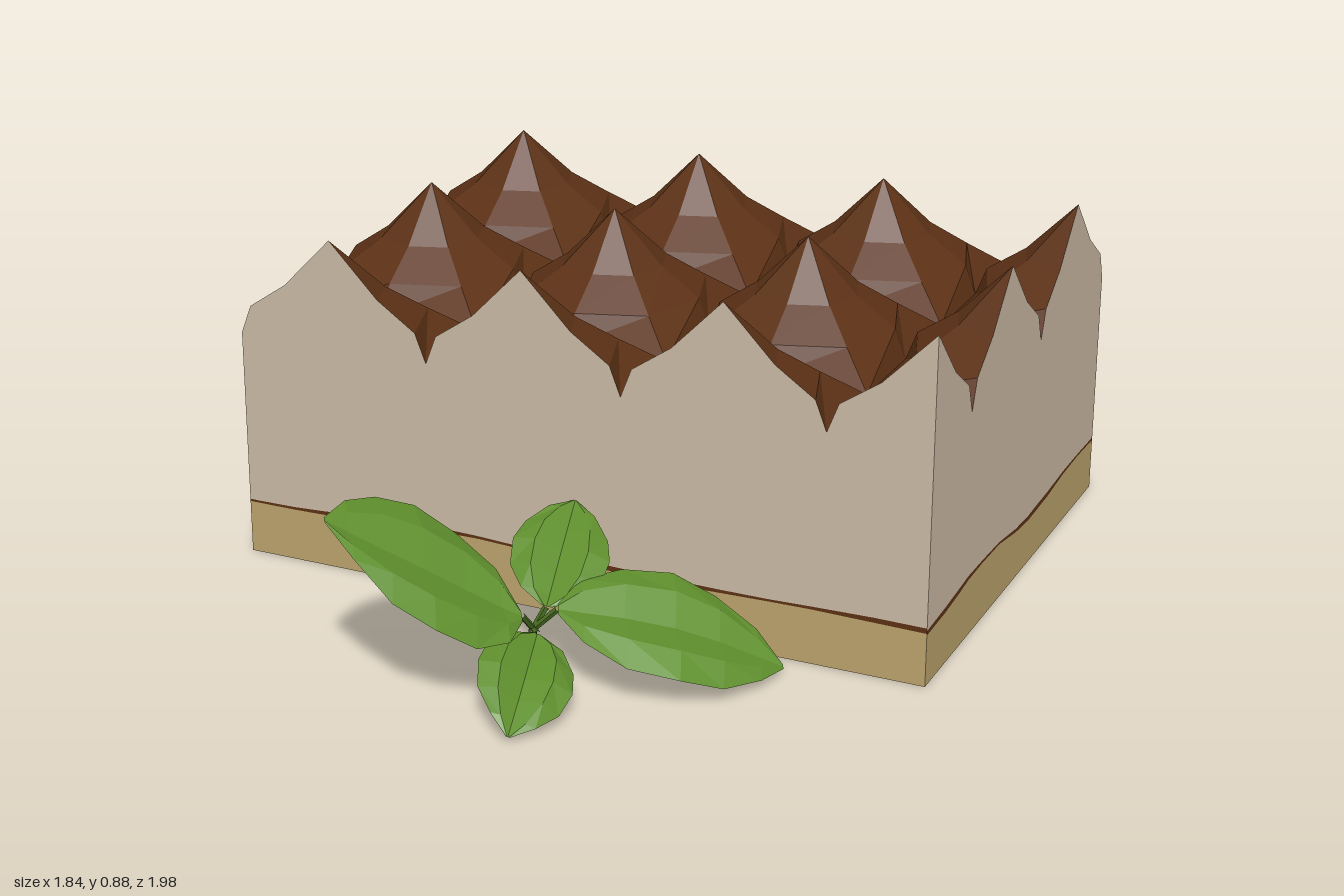
import * as THREE from 'three';

const X = 0.92, ZB = -1, ZF = 0.32;          // cake footprint
const HX = 0.2629, HZ = 0.264;               // half size of one cream peak
// peak cross-section: distance from centre (fraction of half size) and height
const PROFILE = [[0, 0.88], [0.5, 0.745], [0.89, 0.675], [1, 0.6]];
const PEAKS_X = [0, 1, 2, 3].map(i => X - i * 2 * HX);
const PEAKS_Z = [0, 1, 2].map(i => ZF - i * 2 * HZ);

// linear interpolation through [position, value] pairs
function lerpTable(table, u) {
  for (let i = 1; i < table.length; i++) {
    const [u0, v0] = table[i - 1], [u1, v1] = table[i];
    if (u <= u1) return v0 + (v1 - v0) * Math.max(0, (u - u0) / (u1 - u0));
  }
  return table[table.length - 1][1];
}

// flat shaded mesh from a list of quads / triangles
function facets(name, color, polys, side = THREE.FrontSide) {
  const pos = [];
  for (const p of polys) {
    for (let i = 1; i < p.length - 1; i++) pos.push(...p[0], ...p[i], ...p[i + 1]);
  }
  const geo = new THREE.BufferGeometry();
  geo.setAttribute('position', new THREE.Float32BufferAttribute(pos, 3));
  geo.computeVertexNormals();
  const mesh = new THREE.Mesh(geo, new THREE.MeshStandardMaterial({ color, flatShading: true, side }));
  mesh.name = name;
  return mesh;
}

// cocoa surface: rows of faceted peaks, halved along the cut sides
function cocoaTopping() {
  const polys = [];
  const ring = (cx, cz, [r, y], k) => {
    const a = k * Math.PI / 4;
    let c = Math.cos(a), s = Math.sin(a);
    if (r === 1) {
      const m = Math.max(Math.abs(c), Math.abs(s));
      c /= m; s /= m;
    } else if (k % 2) { c *= 1.06; s *= 1.06; }
    return [cx + c * r * HX, y, cz + s * r * HZ];
  };
  for (const cx of PEAKS_X) for (const cz of PEAKS_Z) for (let k = 0; k < 8; k++) {
    const mid = (k + 0.5) * Math.PI / 4;
    if (cx + Math.cos(mid) * 0.1 > X || cz + Math.sin(mid) * 0.1 > ZF) continue;
    for (let j = 1; j < PROFILE.length; j++) {
      const a = PROFILE[j - 1], b = PROFILE[j];
      const outer = [ring(cx, cz, b, k + 1), ring(cx, cz, b, k)];
      polys.push(j === 1 ? [[cx, a[1], cz], ...outer]
        : [ring(cx, cz, a, k), ring(cx, cz, a, k + 1), ...outer]);
    }
  }
  return facets('cocoaTopping', 0x5c3115, polys, THREE.DoubleSide);
}

// wavy line between sponge and cream, along x and along z
const WAVE_X = [[-0.92, 0.138], [-0.7, 0.138], [-0.4, 0.155], [-0.25, 0.157], [0, 0.145], [0.2, 0.135], [0.6, 0.143], [0.92, 0.138]];
const WAVE_BACK = [[-0.92, 0.138], [-0.55, 0.14], [-0.2, 0.125], [0.1, 0.118], [0.35, 0.142], [0.6, 0.15], [0.92, 0.138]];
const WAVE_Z = [[-1, 0.136], [-0.8, 0.142], [-0.6, 0.125], [-0.4, 0.12], [-0.2, 0.152], [0, 0.155], [0.15, 0.138], [0.32, 0.134]];

// stations along a side, at every break of the peak profile
function stations(peaks, half, lo, hi) {
  const list = [];
  for (const p of peaks) for (const [r] of PROFILE) list.push(p - r * half, p + r * half);
  const inside = list.filter(u => u > lo + 0.005 && u < hi - 0.005);
  return [lo, ...inside.sort((a, b) => a - b), hi];
}

function peakHeight(u, peaks, half) {
  const d = Math.min(...peaks.map(p => Math.abs(u - p)));
  return lerpTable(PROFILE, Math.min(1, d / half));
}

function cakeLayers() {
  const ux = stations(PEAKS_X, HX, -X, X), uz = stations(PEAKS_Z, HZ, ZB, ZF);
  const flat = () => 0.6;
  // each side runs anticlockwise seen from above so its faces point outward
  const sides = [
    { us: ux, at: (u, y) => [u, y, ZF], wave: WAVE_X, top: u => peakHeight(u, PEAKS_X, HX) },
    { us: [...uz].reverse(), at: (u, y) => [X, y, u], wave: WAVE_Z, top: u => peakHeight(u, PEAKS_Z, HZ) },
    { us: [...ux].reverse(), at: (u, y) => [u, y, ZB], wave: WAVE_BACK, top: flat },
    { us: uz, at: (u, y) => [-X, y, u], wave: WAVE_Z, top: flat },
  ];
  const wall = (low, high) => sides.flatMap(s => s.us.slice(1).map((b, i) => {
    const a = s.us[i];
    return [s.at(a, low(s, a)), s.at(b, low(s, b)), s.at(b, high(s, b)), s.at(a, high(s, a))];
  }));
  const zero = () => 0;
  const wave = (s, u) => lerpTable(s.wave, u);
  const syrup = (s, u) => wave(s, u) + 0.01 + 0.004 * Math.sin(u * 9);
  const top = (s, u) => s.top(u);
  const bottom = [[-X, 0, ZB], [X, 0, ZB], [X, 0, ZF], [-X, 0, ZF]];
  return [
    facets('spongeBase', 0xbca46c, [...wall(zero, wave), bottom]),
    facets('coffeeLine', 0x5c3115, wall(wave, syrup)),
    facets('creamLayer', 0xccbba5, wall(syrup, top)),
  ];
}

// leaf: outline swept from base to tip, folded along its midrib
const LEAF_WIDTH = [[0, 0.1], [0.1, 0.62], [0.28, 0.97], [0.5, 1.05], [0.7, 0.9], [0.88, 0.5], [1, 0.04]];
function leaf(name, base, tip, side, bulge) {
  const b = new THREE.Vector3(...base), t = new THREE.Vector3(...tip), s = new THREE.Vector3(...side);
  const axis = t.clone().sub(b);
  const normal = axis.clone().cross(s).normalize();
  if (normal.y < 0) normal.negate();
  const across = [-1, -0.55, 0, 0.55, 1];
  const rows = LEAF_WIDTH.map(([u, w], i) => across.map(v => {
    const lift = bulge * Math.sin(u * Math.PI) + w * (0.025 * (1 - (2 * Math.abs(v) - 1) ** 2) - 0.012)
      + (Math.abs(v) === 1 ? 0.008 * (i % 2) : 0);
    return b.clone().addScaledVector(axis, u).addScaledVector(s, v * w).addScaledVector(normal, lift).toArray();
  }));
  const polys = [];
  for (let i = 1; i < rows.length; i++) for (let j = 1; j < across.length; j++) {
    polys.push([rows[i - 1][j - 1], rows[i - 1][j], rows[i][j], rows[i][j - 1]]);
  }
  return facets(name, 0x5f8f2d, polys, THREE.DoubleSide);
}

function stalk(name, points, radius) {
  const curve = new THREE.CatmullRomCurve3(points.map(p => new THREE.Vector3(...p)));
  const mesh = new THREE.Mesh(new THREE.TubeGeometry(curve, 4, radius, 5),
    new THREE.MeshStandardMaterial({ color: 0x4c7424, flatShading: true }));
  mesh.name = name;
  return mesh;
}

function sprig() {
  const group = new THREE.Group();
  group.name = 'sprig';
  const hub = [0.05, 0.11, 0.63];
  const leaves = [
    ['raisedLeaf', [0.05, 0.17, 0.69], [-0.33, 0.44, 0.93], [0.1, -0.075, 0.137], 0.01],
    ['broadLeaf', [0.12, 0.18, 0.64], [0.59, 0.015, 0.39], [0.075, -0.055, 0.145], 0.045],
    ['backLeaf', [0.08, 0.17, 0.62], [0.01, 0.31, 0.32], [0.11, -0.02, -0.025], 0.015],
    ['frontLeaf', [0.08, 0.12, 0.67], [0.16, 0.015, 0.98], [0.1, -0.035, -0.03], 0.03],
  ];
  for (const [name, base, tip, side, bulge] of leaves) {
    group.add(leaf(name, base, tip, side, bulge));
    group.add(stalk(name + 'Stalk', [hub, base], 0.008));
  }
  group.add(stalk('stem', [[0.015, 0.012, 0.585], [0.03, 0.06, 0.6], hub], 0.011));
  return group;
}

export function createModel() {
  const model = new THREE.Group();
  model.name = 'layeredDessert';
  model.add(...cakeLayers(), cocoaTopping(), sprig());
  return model;
}
